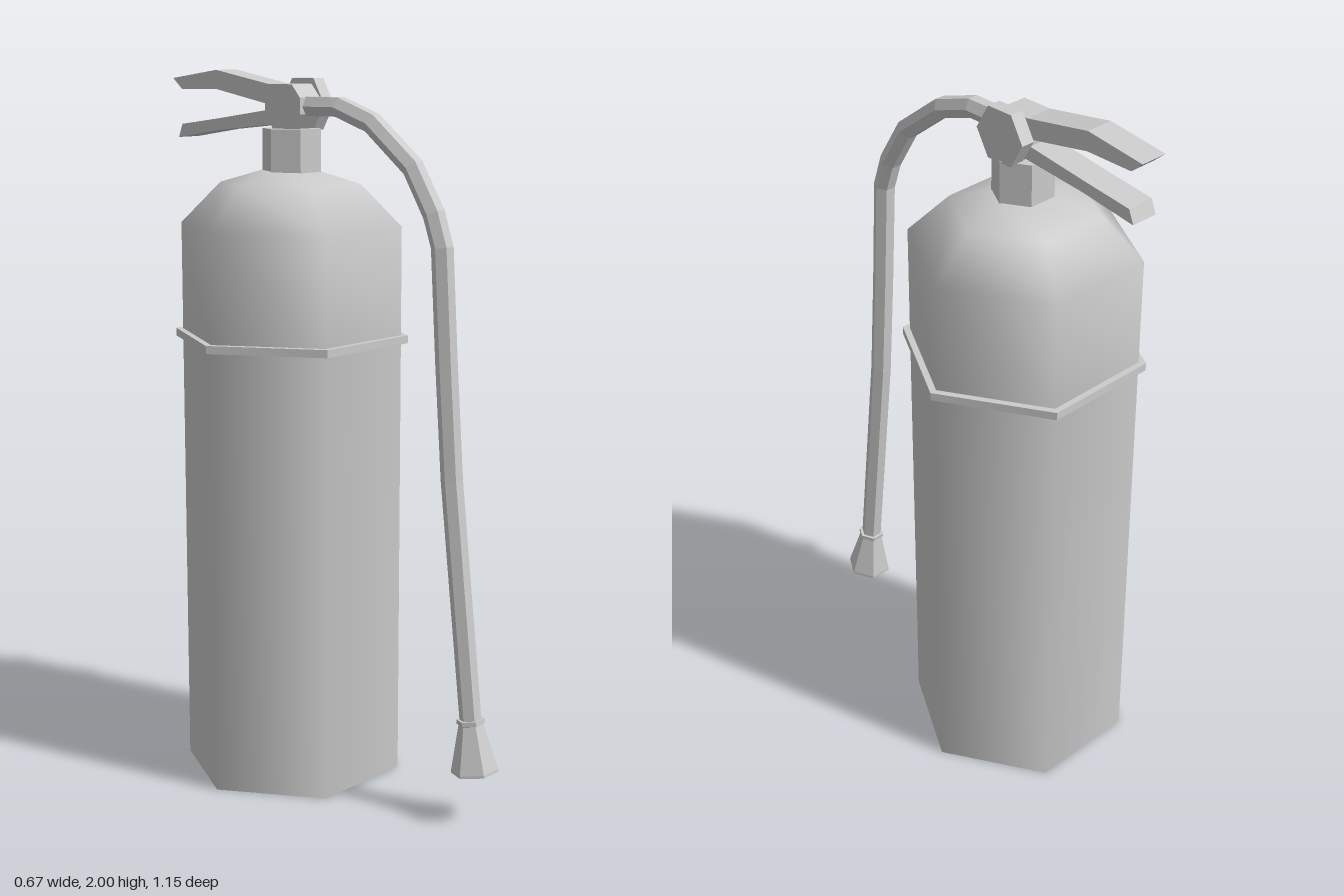
import * as THREE from 'three';

const SIDES = 6;
const AXIS_Z = -0.155; // centre line of the tank

const smooth = new THREE.MeshStandardMaterial({ color: 0xcccccc });
const flat = new THREE.MeshStandardMaterial({ color: 0xcccccc, flatShading: true });
const flatDouble = new THREE.MeshStandardMaterial({ color: 0xcccccc, flatShading: true, side: THREE.DoubleSide });

function part(name, geometry, material = flat) {
  const mesh = new THREE.Mesh(geometry, material);
  mesh.name = name;
  return mesh;
}

const points = (list) => list.map(([x, y]) => new THREE.Vector2(x, y));

// Six-sided lathe with corners on the x axis
const hexLathe = (profile) => new THREE.LatheGeometry(points(profile), SIDES, Math.PI / 2);

// Six-sided prism with corners on the x axis, from y0 to y1
function hexPrism(radius, y0, y1) {
  return new THREE.CylinderGeometry(radius, radius, y1 - y0, SIDES, 1, false, Math.PI / 2)
    .translate(0, (y0 + y1) / 2, 0);
}

// Extrudes a [z, y] outline along x, from x0 to x1
function sideExtrude(outline, x0, x1) {
  return new THREE.ExtrudeGeometry(new THREE.Shape(points(outline)), { depth: x1 - x0, bevelEnabled: false })
    .rotateY(-Math.PI / 2).translate(x1, 0, 0);
}

// Sweeps a hexagon along a [z, y] path lying in the middle plane
function hexSweep(path, radius) {
  const p = points(path);
  const positions = [];
  const index = [];
  p.forEach((c, i) => {
    const before = p[Math.max(i - 1, 0)];
    const after = p[Math.min(i + 1, p.length - 1)];
    const t = after.clone().sub(before).normalize();
    for (let s = 0; s < SIDES; s++) {
      const a = (s / SIDES) * Math.PI * 2;
      const n = Math.sin(a) * radius;
      positions.push(Math.cos(a) * radius, c.y + t.x * n, c.x - t.y * n);
      if (i < p.length - 1) {
        const k = i * SIDES + s;
        const m = i * SIDES + (s + 1) % SIDES;
        index.push(k, m, k + SIDES, m, m + SIDES, k + SIDES);
      }
    }
  });
  const g = new THREE.BufferGeometry();
  g.setAttribute('position', new THREE.Float32BufferAttribute(positions, 3));
  g.setIndex(index);
  g.computeVertexNormals();
  return g;
}

export function createModel() {
  const model = new THREE.Group();
  model.name = 'fireExtinguisher';

  // Tank with shoulder, base, band and neck
  const tank = new THREE.Group();
  tank.name = 'tank';
  tank.position.z = AXIS_Z;
  tank.add(
    part('tankWall', hexLathe([[0.315, 0], [0.315, 1.267]]), smooth),
    part('tankShoulder', hexLathe([[0.315, 1.267], [0.315, 1.58], [0.2, 1.695], [0.08, 1.73], [0, 1.73]]), smooth),
    part('tankBase', new THREE.CircleGeometry(0.315, SIDES).rotateX(Math.PI / 2)),
    part('tankBand', hexPrism(0.335, 1.256, 1.278)),
    part('neck', hexPrism(0.083, 1.71, 1.845).translate(0, 0, 0.007)),
  );
  model.add(tank);

  // Round gauge on the left side of the valve
  const gauge = hexPrism(0.08, 0.04, 0.08).rotateZ(-Math.PI / 2).rotateX(Math.PI / 2);
  gauge.scale(1, 0.07 / (0.08 * Math.sin(Math.PI / 3)), 1).translate(0, 1.91, -0.143);
  model.add(part('gauge', gauge));

  // Valve block with the squeeze lever above and the carrying handle below
  model.add(part('handles', sideExtrude([
    [-0.08, 1.885], [-0.08, 1.93], [-0.11, 1.965], [-0.2, 1.965],
    [-0.4, 2], [-0.575, 1.975], [-0.54, 1.945], [-0.4, 1.947], [-0.21, 1.912],
    [-0.21, 1.893], [-0.4, 1.865], [-0.54, 1.846], [-0.555, 1.808],
    [-0.39, 1.834], [-0.19, 1.855], [-0.18, 1.842], [-0.11, 1.842],
  ], -0.04, 0.04)));

  // Hose hanging down the front
  model.add(part('hose', hexSweep([
    [-0.1, 1.906], [0.03, 1.907], [0.145, 1.868], [0.285, 1.758], [0.357, 1.64],
    [0.386, 1.555], [0.405, 1.25], [0.428, 0.94], [0.467, 0.6], [0.505, 0.27],
  ], 0.03), flatDouble));

  // Collar and hollow flared nozzle at the end of the hose
  const nozzle = part('nozzle', hexLathe([
    [0.026, 0.03], [0.058, -0.135], [0.065, -0.135], [0.065, -0.128],
    [0.034, 0], [0.039, 0.002], [0.039, 0.014], [0.028, 0.014],
  ]), flatDouble);
  nozzle.position.set(0, 0.275, 0.505);
  nozzle.rotation.x = -0.12;
  model.add(nozzle);

  return model;
}
